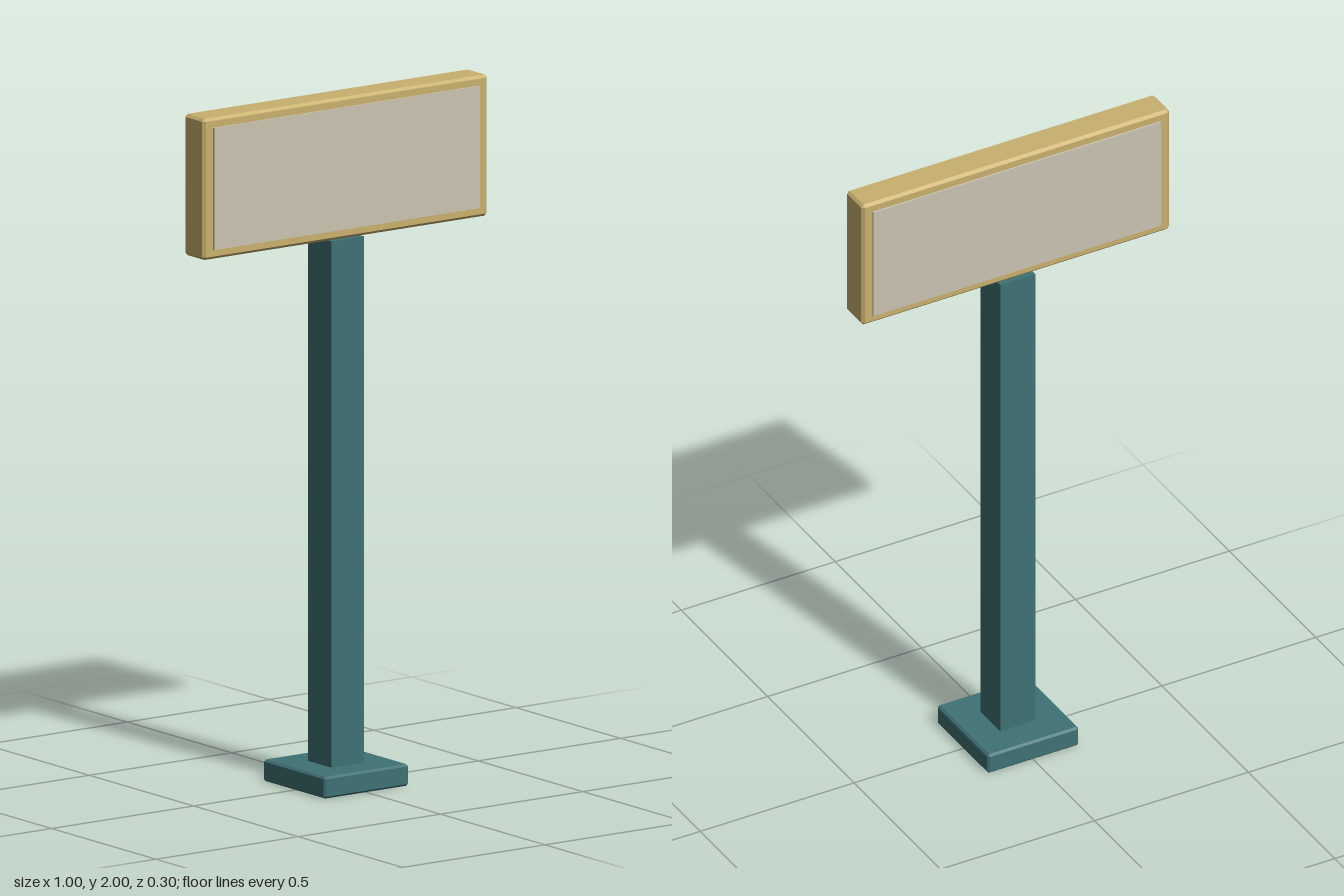
import * as THREE from 'three';
import { ConvexGeometry } from 'three/addons/geometries/ConvexGeometry.js';

const mat = (name, color) => Object.assign(new THREE.MeshStandardMaterial({ color }), { name });

// Box with every edge cut at 45 degrees by c
function chamferBox(w, h, d, c) {
  const [x, y, z] = [w / 2, h / 2, d / 2];
  const points = [];
  for (const sx of [-1, 1]) for (const sy of [-1, 1]) for (const sz of [-1, 1]) {
    points.push(
      new THREE.Vector3(sx * x, sy * (y - c), sz * (z - c)),
      new THREE.Vector3(sx * (x - c), sy * y, sz * (z - c)),
      new THREE.Vector3(sx * (x - c), sy * (y - c), sz * z));
  }
  return new ConvexGeometry(points);
}

export function createModel() {
  const model = new THREE.Group();
  model.name = 'signPost';
  const teal = mat('tealPaint', 0x3f7275);
  const gold = mat('goldFrame', 0xc9b06e);
  const grey = mat('paleGreyPanel', 0xc9c3b1);

  const add = (name, geometry, material, y, z = 0) => {
    const mesh = new THREE.Mesh(geometry, material);
    mesh.name = name;
    mesh.position.set(0, y, z);
    model.add(mesh);
  };

  // Foot plate and square post
  add('base', chamferBox(0.296, 0.063, 0.296, 0.006), teal, 0.0315);
  add('post', new THREE.BoxGeometry(0.114, 1.54, 0.114), teal, 0.82);

  // Sign board with a slightly raised panel on both faces
  add('signFrame', chamferBox(1, 0.41, 0.096, 0.008), gold, 1.795);
  add('frontPanel', new THREE.BoxGeometry(0.934, 0.354, 0.009), grey, 1.795, 0.0495);
  add('backPanel', new THREE.BoxGeometry(0.934, 0.354, 0.009), grey, 1.795, -0.0495);

  return model;
}
